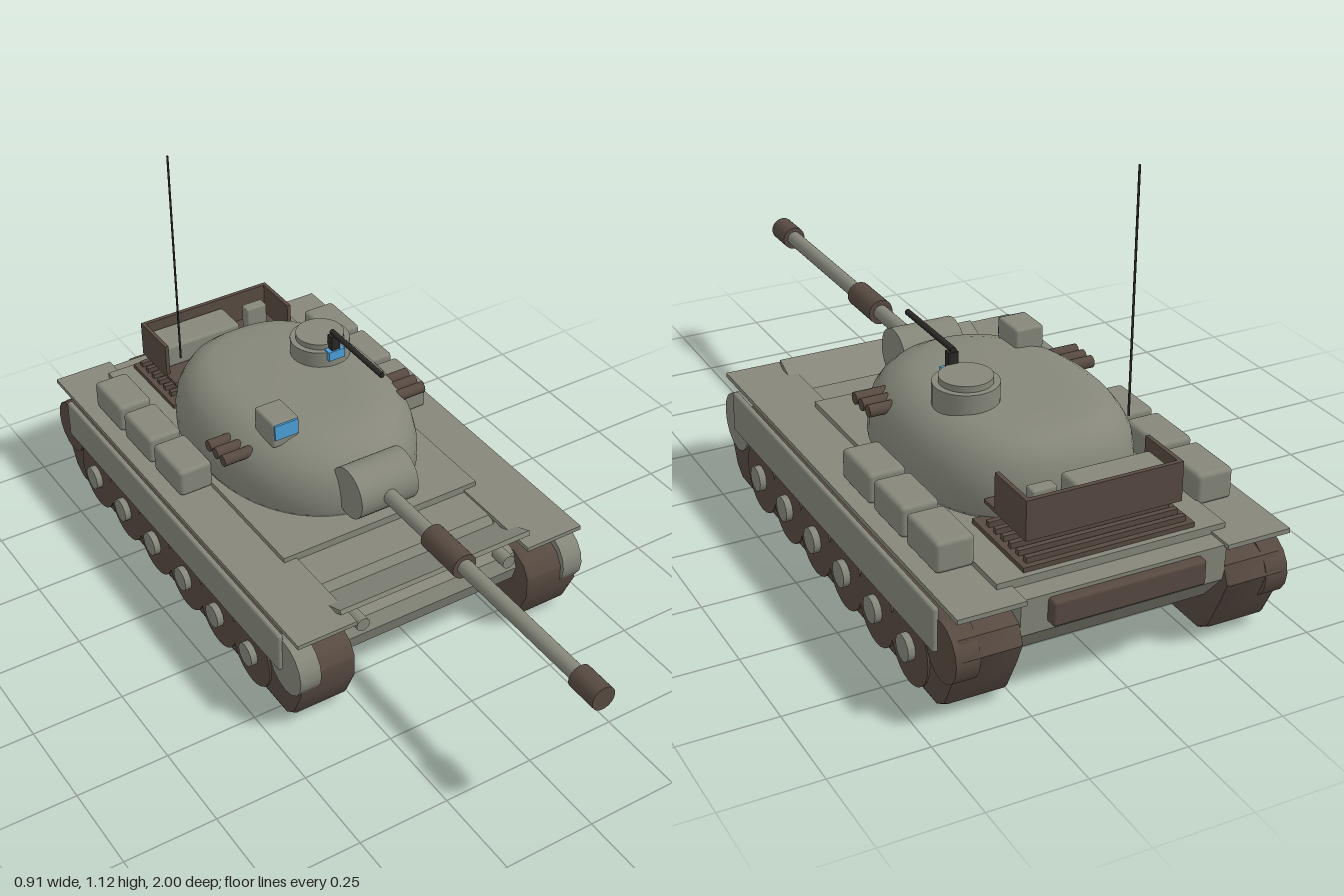
import * as THREE from 'three';
import { RoundedBoxGeometry } from 'three/addons/geometries/RoundedBoxGeometry.js';
import { toCreasedNormals } from 'three/addons/utils/BufferGeometryUtils.js';

const mat = (name, color) => Object.assign(new THREE.MeshStandardMaterial({ color }), { name });

export function createModel() {
  const armour = mat('grey green armour', 0x86877a);
  const brown = mat('dark brown steel', 0x574a41);
  const black = mat('blackened metal', 0x2b2826);
  const glass = mat('blue glass', 0x4a9fd6);
  const model = new THREE.Group();
  model.name = 'tank';

  const add = (name, geo, material, x = 0, y = 0, z = 0) => {
    const m = new THREE.Mesh(geo, material);
    m.name = name;
    m.position.set(x, y, z);
    model.add(m);
    return m;
  };
  // box given by its limits on each axis, optionally rounded
  const box = (name, material, [x0, x1], [y0, y1], [z0, z1], r = 0) => {
    const s = [x1 - x0, y1 - y0, z1 - z0];
    const g = r ? new RoundedBoxGeometry(...s, 2, r) : new THREE.BoxGeometry(...s);
    return add(name, g, material, (x0 + x1) / 2, (y0 + y1) / 2, (z0 + z1) / 2);
  };
  // cylinder lying along 'x' or 'z', or standing along 'y'
  const rod = (name, material, axis, r, len, x, y, z, sides = 24) => {
    const g = new THREE.CylinderGeometry(r, r, len, sides);
    if (axis === 'x') g.rotateZ(Math.PI / 2);
    if (axis === 'z') g.rotateX(Math.PI / 2);
    return add(name, g, material, x, y, z);
  };
  // side profile of [z, y] points extruded between two x limits
  const profile = (name, material, pts, x0, x1, bevel = 0) => {
    const shape = new THREE.Shape(pts.map(([z, y]) => new THREE.Vector2(-z, y)));
    const g = new THREE.ExtrudeGeometry(shape, {
      depth: x1 - x0 - 2 * bevel, bevelEnabled: bevel > 0, bevelSize: bevel,
      bevelThickness: bevel, bevelOffset: -bevel, bevelSegments: 2 });
    g.rotateY(Math.PI / 2).translate(x0 + bevel, 0, 0);
    return add(name, toCreasedNormals(g, 0.6), material);
  };

  // hull
  profile('hull', armour, [[0.25, 0.12], [0.30, 0.155], [0.315, 0.2], [0.30, 0.24], [0.21, 0.262],
    [0.19, 0.295], [-0.975, 0.295], [-0.97, 0.2], [-0.9, 0.12]], -0.268, 0.268);
  profile('glacisPlate', armour, [[0.20, 0.255], [0.335, 0.313], [0.33, 0.325], [0.195, 0.267]], -0.29, 0.29);
  box('upperDeck', armour, [-0.3, 0.3], [0.28, 0.316], [-0.92, 0.075]);
  box('rearBar', brown, [-0.2, 0.2], [0.22, 0.285], [-1, -0.965], 0.008);

  // engine grille
  box('grilleFrame', brown, [-0.225, 0.225], [0.31, 0.328], [-0.905, -0.66]);
  for (let i = 0; i < 6; i++) {
    const z = -0.89 + i * 0.035;
    box('grilleSlat', brown, [-0.21, 0.21], [0.325, 0.342], [z, z + 0.014]);
  }

  for (const s of [1, -1]) {
    const span = (a, b) => (s > 0 ? [a, b] : [-b, -a]);
    // running gear
    profile('track', brown, [[0.29, 0.015], [0.325, 0.04], [0.365, 0.125], [0.365, 0.19], [0.345, 0.225],
      [0.3, 0.247], [-0.92, 0.255], [-0.97, 0.235], [-0.99, 0.19], [-0.965, 0.13], [-0.92, 0.04], [-0.88, 0.015]],
      ...span(0.265, 0.43), 0.012);
    rod('idlerWheel', armour, 'x', 0.08, 0.06, s * 0.405, 0.185, 0.298, 16);
    rod('driveSprocket', brown, 'x', 0.076, 0.06, s * 0.405, 0.18, -0.915, 16);
    for (let i = 0; i < 6; i++) {
      const z = 0.126 - i * 0.1766;
      rod('roadWheel', brown, 'x', 0.096, 0.06, s * 0.405, 0.1, z);
      rod('wheelHub', armour, 'x', 0.034, 0.03, s * 0.438, 0.1, z, 12);
    }
    // fenders, skirts and stowage
    box('fender', armour, span(0.262, 0.433), [0.29, 0.302], [-0.99, 0.365]);
    box('sideSkirt', armour, span(0.43, 0.447), [0.168, 0.282], [-0.9, 0.29], 0.007);
    for (let i = 0; i < 3; i++) {
      const z = -0.81 + i * 0.175;
      box('stowageBox', armour, span(0.295, 0.394), [0.302, 0.384], [z, z + 0.155], 0.012);
    }
    rod('headlight', armour, 'z', 0.019, 0.05, s * 0.225, 0.25, 0.31, 16);
    // smoke dischargers
    for (let i = 0; i < 3; i++)
      rod('smokeDischarger', brown, 'x', 0.016, 0.1, s * 0.264, 0.455, -0.208 - i * 0.039, 12);
  }

  // cast turret: egg-shaped rings stacked upward, [y, halfWidth, frontZ, rearZ]
  const rings = [[0.318, 0, -0.35, -0.35], [0.318, 0.285, 0.02, -0.72], [0.335, 0.294, 0.03, -0.732],
    [0.385, 0.293, 0.026, -0.732], [0.425, 0.285, 0.015, -0.726], [0.455, 0.268, -0.005, -0.715],
    [0.48, 0.248, -0.035, -0.7], [0.5, 0.218, -0.075, -0.675], [0.511, 0.185, -0.115, -0.64],
    [0.515, 0.13, -0.18, -0.56], [0.516, 0, -0.36, -0.36]];
  const N = 48, pos = [], idx = [];
  const pw = (v, n) => Math.sign(v) * Math.abs(v) ** (2 / n);
  rings.forEach(([y, w, zf, zr], i) => {
    for (let a = 0; a < N; a++) {
      const t = (a / N) * Math.PI * 2, c = Math.cos(t), sn = Math.sin(t), n = sn > 0 ? 2.1 : 2.5;
      const mid = (zf + zr) / 2;
      pos.push(w * pw(c, n), y, mid + ((zf - zr) / 2) * pw(sn, n));
      if (i < rings.length - 1) {
        const p = i * N + a, q = i * N + (a + 1) % N;
        idx.push(p, p + N, q + N, p, q + N, q);
      }
    }
  });
  const dome = new THREE.BufferGeometry();
  dome.setAttribute('position', new THREE.Float32BufferAttribute(pos, 3));
  dome.setIndex(idx);
  dome.computeVertexNormals();
  add('turret', dome, armour);

  // gun
  rod('mantlet', armour, 'x', 0.072, 0.174, 0, 0.418, 0.043, 32);
  box('mantletSeal', brown, [-0.06, 0.06], [0.325, 0.36], [-0.02, 0.05]);
  rod('gunBarrel', armour, 'z', 0.021, 0.9, 0, 0.418, 0.53);
  rod('boreEvacuator', brown, 'z', 0.035, 0.142, 0, 0.418, 0.376);
  rod('muzzle', brown, 'z', 0.033, 0.09, 0, 0.418, 0.955);

  // commander's cupola with machine gun
  rod('cupola', armour, 'y', 0.083, 0.06, 0.125, 0.532, -0.435, 32);
  rod('cupolaHatch', armour, 'y', 0.067, 0.02, 0.125, 0.568, -0.435, 32);
  box('periscope', glass, [0.1, 0.15], [0.538, 0.566], [-0.37, -0.345]);
  box('gunMount', black, [0.112, 0.138], [0.56, 0.608], [-0.372, -0.35]);
  rod('machineGun', black, 'z', 0.008, 0.25, 0.125, 0.614, -0.245, 10);

  // gunner's sight and antenna
  box('sightBox', armour, [-0.197, -0.117], [0.485, 0.563], [-0.242, -0.145], 0.008);
  box('sightGlass', glass, [-0.192, -0.122], [0.513, 0.558], [-0.147, -0.14]);
  rod('antenna', black, 'y', 0.003, 0.63, -0.2, 0.805, -0.645, 8);

  // rear turret basket with its load
  const h = [0.375, 0.478];
  box('basketFloor', brown, [-0.205, 0.205], [0.375, 0.385], [-0.877, -0.68]);
  box('basketRear', brown, [-0.205, 0.205], h, [-0.877, -0.865]);
  box('basketSide', brown, [-0.205, -0.194], h, [-0.877, -0.73]);
  box('basketSide', brown, [0.194, 0.205], h, [-0.877, -0.73]);
  box('basketCrate', armour, [-0.19, 0.05], [0.385, 0.455], [-0.86, -0.755], 0.01);
  box('basketCan', armour, [0.095, 0.16], [0.385, 0.465], [-0.825, -0.79], 0.006);
  return model;
}
